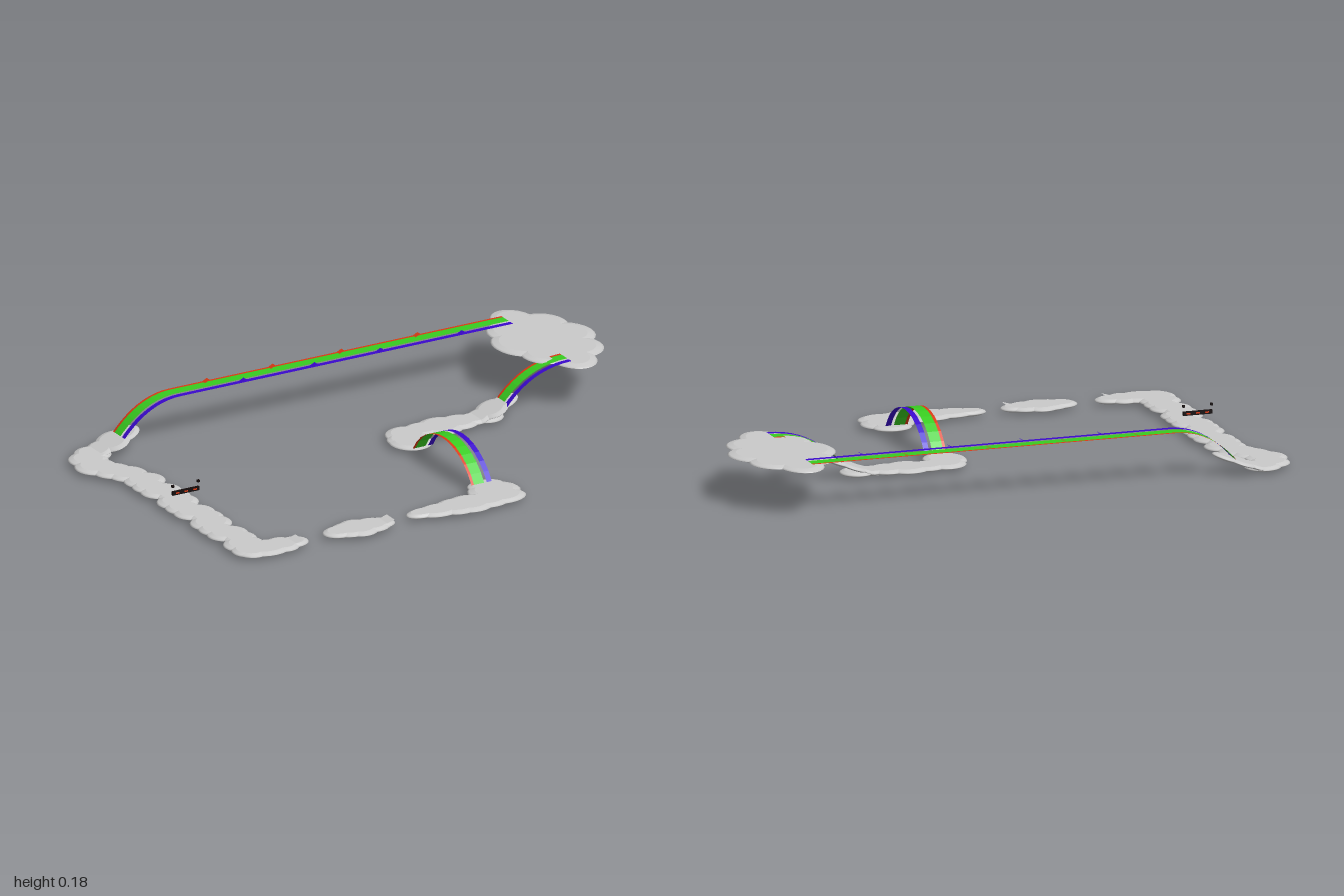
import * as THREE from 'three';
import { mergeGeometries } from 'three/addons/utils/BufferGeometryUtils.js';

export function createModel() {
  const model = new THREE.Group();
  model.name = 'skyTrack';
  const mat = (name, color, extra = {}) => {
    const m = new THREE.MeshStandardMaterial({ color, ...extra });
    m.name = name;
    return m;
  };
  const both = { side: THREE.DoubleSide, flatShading: true };
  const cloudGrey = mat('cloudGrey', 0xcacaca, { side: THREE.DoubleSide });
  const red = mat('red', 0xd93a14, both);
  const green = mat('green', 0x38cc20, both);
  const blue = mat('blue', 0x3a08cc, both);
  const black = mat('black', 0x140c0c);

  const add = (parent, name, geo, material, x = 0, y = 0, z = 0) => {
    const m = new THREE.Mesh(geo, material);
    m.name = name;
    m.position.set(x, y, z);
    parent.add(m);
    return m;
  };

  // One cloud puff: rounded underside and rim, flat top
  const profile = [[0.001, -0.5], [0.45, -0.45], [0.78, -0.28], [0.96, -0.05], [1, 0.08], [0.93, 0.27], [0.72, 0.5]]
    .map(([r, y]) => new THREE.Vector2(r, y));
  const puff = mergeGeometries([
    new THREE.LatheGeometry(profile, 24),
    new THREE.CircleGeometry(0.72, 24).rotateX(-Math.PI / 2).translate(0, 0.5, 0),
  ]);
  // Cloud from puffs given as [x, z, rx, rz]
  const cloud = (name, y, height, puffs) => {
    const geos = puffs.map(([x, z, rx, rz = rx]) => puff.clone().scale(rx, height, rz).translate(x, 0, z));
    return add(model, name, mergeGeometries(geos), cloudGrey, 0, y, 0);
  };
  const LOW = 0.023, THICK = 0.021;

  // Long left cloud road with a bend at each end
  const road = [];
  for (let i = 0; i < 7; i++) {
    const z = -0.2 + i * 0.112;
    road.push([-0.83, z, 0.074, 0.068], [-0.83 + (i % 2 ? 0.015 : -0.015), z + 0.056, 0.06, 0.06]);
  }
  road.push(
    [-0.85, -0.28, 0.07], [-0.88, -0.33, 0.07], [-0.91, -0.39, 0.075], [-0.9, -0.46, 0.07], [-0.86, -0.5, 0.065],
    [-0.84, 0.53, 0.06, 0.07], [-0.78, 0.54, 0.09, 0.07], [-0.72, 0.54, 0.06, 0.065], [-0.68, 0.54, 0.06, 0.045]);
  cloud('leftCloudRoad', LOW, THICK, road);

  // Small floating island
  cloud('islandCloud', LOW, THICK, [
    [-0.42, 0.54, 0.07, 0.077], [-0.49, 0.54, 0.065, 0.05], [-0.45, 0.54, 0.075, 0.065],
    [-0.37, 0.54, 0.07, 0.062], [-0.34, 0.54, 0.06, 0.045]]);

  // Front cloud leading to the arch
  cloud('frontCloud', LOW, THICK, [
    [-0.16, 0.535, 0.065, 0.038], [-0.1, 0.54, 0.085, 0.055], [-0.03, 0.54, 0.08, 0.07], [0.02, 0.54, 0.085, 0.077],
    [0.09, 0.54, 0.08, 0.067], [0.15, 0.54, 0.085, 0.06], [0.15, 0.48, 0.095, 0.08], [0.15, 0.43, 0.07, 0.055]]);

  // Middle cloud between arch and ramp
  cloud('middleCloud', LOW, THICK, [
    [0.13, -0.05, 0.075, 0.08], [0.12, -0.08, 0.06, 0.05], [0.15, -0.11, 0.075, 0.075], [0.22, -0.125, 0.07, 0.06],
    [0.29, -0.12, 0.085, 0.08], [0.36, -0.12, 0.075, 0.065], [0.42, -0.12, 0.07, 0.05], [0.47, -0.12, 0.06, 0.06]]);

  // Large raised cloud
  cloud('highCloud', 0.168, 0.019, [
    [0.81, -0.32, 0.165, 0.17], [0.81, -0.5, 0.08, 0.12], [0.81, -0.13, 0.08, 0.115], [0.72, -0.32, 0.095, 0.12],
    [0.76, -0.43, 0.095, 0.1], [0.76, -0.2, 0.095, 0.1], [0.9, -0.32, 0.1, 0.11],
    [0.87, -0.44, 0.095, 0.1], [0.87, -0.2, 0.095, 0.1]]);

  // Tilted cloud pads at the foot of the ramps
  for (const [name, x, y, z, w] of [['rearCloudPad', -0.775, 0.049, -0.51, 0.072], ['middleCloudPad', 0.49, 0.046, -0.12, 0.065]]) {
    const pad = cloud(name, y, 0.017, [[0, 0, 0.06, w], [-0.055, 0, 0.05, w * 0.8], [0.05, 0, 0.055, w * 0.7]]);
    pad.position.set(x, y, z);
    pad.rotation.z = 0.34;
  }

  // Thin ribbon following a curve in x and y, spread across z0..z1
  const ribbon = (pts, z0, z1) => {
    const n = pts.length - 1;
    const g = new THREE.PlaneGeometry(1, 1, n, 1).rotateX(-Math.PI / 2);
    const p = g.attributes.position;
    for (let i = 0; i < p.count; i++) {
      const c = pts[i % (n + 1)];
      p.setXYZ(i, c.x, c.y, i <= n ? z0 : z1);
    }
    g.computeVertexNormals();
    return g;
  };
  const rainbow = (name, pts) => {
    const g = new THREE.Group();
    g.name = name;
    add(g, 'redStripe', ribbon(pts, -0.04, -0.03), red);
    add(g, 'greenStripe', ribbon(pts, -0.03, 0.01), green);
    add(g, 'blueStripe', ribbon(pts, 0.02, 0.04), blue);
    model.add(g);
    return g;
  };
  const V = (x, y) => new THREE.Vector2(x, y);
  const bend = (a, b, c) => new THREE.QuadraticBezierCurve(a, b, c).getPoints(10);
  const TOP = 0.18;

  // Long rear rainbow, short rainbow ramp, and the front arch
  rainbow('longRainbow', [...bend(V(-0.76, 0.055), V(-0.66, TOP), V(-0.53, TOP)), V(0.78, TOP)]).position.z = -0.51;
  rainbow('shortRainbow', bend(V(0.52, 0.055), V(0.62, TOP), V(0.78, TOP))).position.z = -0.115;
  const arch = rainbow('archRainbow', new THREE.CubicBezierCurve(V(-0.2, 0.03), V(-0.11, 0.177), V(0.11, 0.177), V(0.2, 0.03)).getPoints(12));
  arch.rotation.y = Math.PI / 2;
  arch.position.set(0.138, 0, 0.22);

  // Little jump ramps on the long rainbow
  const jump = (s, h) => [V(-s, 0), V(s, h)];
  for (const x of [-0.39, -0.13, 0.14, 0.44])
    add(model, 'redJump', ribbon(jump(0.009, 0.009), -0.01, 0.01), red, x, TOP, -0.54);
  for (const x of [-0.28, 0, 0.26, 0.58])
    add(model, 'blueJump', ribbon(jump(0.009, 0.009), -0.01, 0.01), blue, x, TOP, -0.48);

  // Grey jump ramps at the front gaps
  for (const x of [-0.67, -0.31])
    add(model, 'cloudJump', ribbon(jump(0.015, 0.009), -0.027, 0.027), cloudGrey, x, 0.033, 0.545);

  // Hanging start banner with red panels and two lamps
  add(model, 'startBanner', new THREE.BoxGeometry(0.105, 0.014, 0.008), black, -0.825, 0.08, 0.068);
  for (const x of [-0.858, -0.825, -0.79])
    for (const s of [-1, 1])
      add(model, 'bannerPanel', new THREE.BoxGeometry(0.014, 0.005, 0.001), red, x, 0.08, 0.068 + s * 0.0046);
  for (const x of [-0.875, -0.775])
    add(model, 'startLamp', new THREE.BoxGeometry(0.008, 0.008, 0.008), black, x, 0.106, 0.068);
  return model;
}
